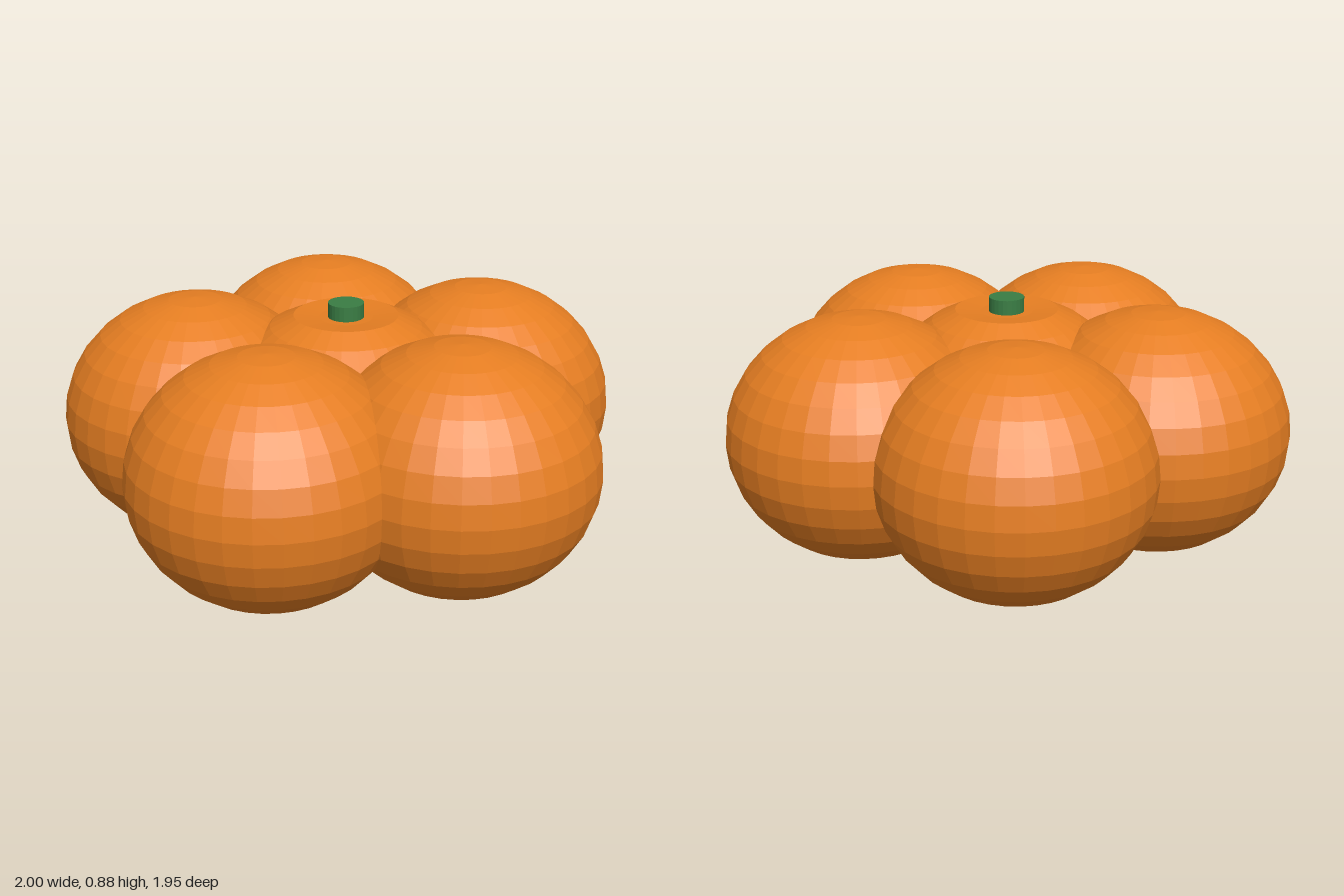
import * as THREE from 'three';

const RADIUS = 0.481, HALF_HEIGHT = 0.436, MID_Y = 0.441, RING = 0.545, CENTER_Z = 0.05;

export function createModel() {
  const model = new THREE.Group();
  model.name = 'pumpkin';

  const orange = new THREE.MeshStandardMaterial({ color: 0xe67e22, flatShading: true });
  orange.name = 'orange skin';
  const green = new THREE.MeshStandardMaterial({ color: 0x3a7d44, flatShading: true });
  green.name = 'green stem';

  const lobeGeometry = new THREE.SphereGeometry(1, 32, 16);
  lobeGeometry.scale(RADIUS, HALF_HEIGHT, RADIUS);

  // five lobes around the core, one pointing to the back
  for (let i = 0; i < 5; i++) {
    const angle = (i / 5) * Math.PI * 2;
    const lobe = new THREE.Mesh(lobeGeometry, orange);
    lobe.name = 'lobe' + (i + 1);
    lobe.position.set(Math.sin(angle) * RING, MID_Y, CENTER_Z - Math.cos(angle) * RING);
    model.add(lobe);
  }

  // core with a sunken top around the stem
  const coreGeometry = lobeGeometry.clone();
  const p = coreGeometry.attributes.position;
  for (let i = 0; i < p.count; i++) {
    if (p.getY(i) > HALF_HEIGHT * 0.95) p.setY(i, HALF_HEIGHT * 0.905);
  }
  coreGeometry.computeVertexNormals();
  const core = new THREE.Mesh(coreGeometry, orange);
  core.name = 'core';
  core.position.set(0, MID_Y, CENTER_Z);
  model.add(core);

  // short stem
  const stem = new THREE.Mesh(new THREE.CylinderGeometry(0.063, 0.063, 0.06, 24), green);
  stem.name = 'stem';
  stem.position.set(0, 0.858, CENTER_Z);
  model.add(stem);

  return model;
}
